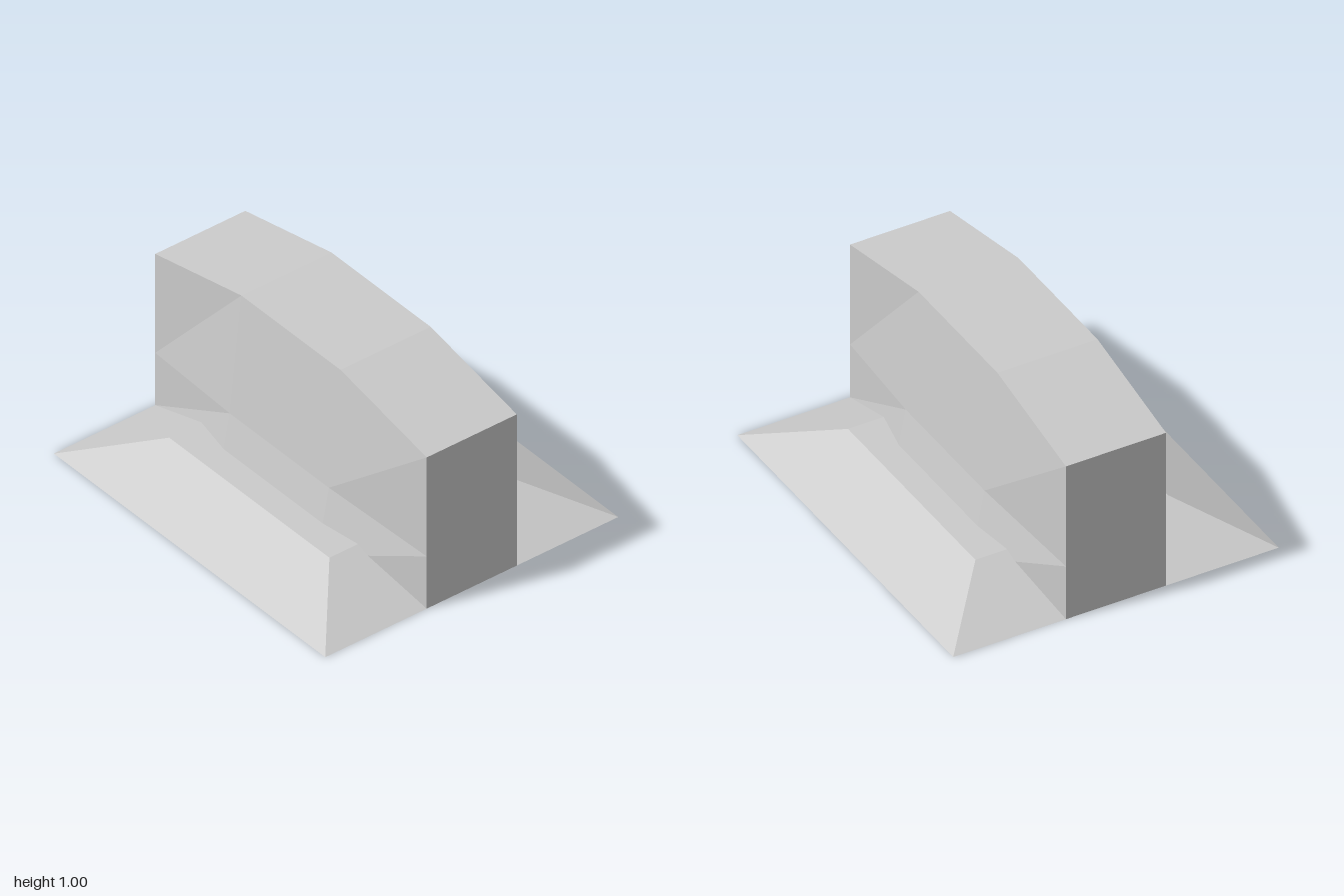
import * as THREE from 'three';

// Closed flat-sided skin through matching rings of [x, y, z] points,
// each ring running clockwise as seen from the last ring's end.
function loft(name, rings) {
  const n = rings[0].length;
  const last = rings.length - 1;
  const pos = [];
  const tri = (a, b, c) => pos.push(...a, ...b, ...c);
  for (let j = 0; j < last; j++) {
    for (let i = 0; i < n; i++) {
      const k = (i + 1) % n;
      tri(rings[j][i], rings[j + 1][i], rings[j + 1][k]);
      tri(rings[j][i], rings[j + 1][k], rings[j][k]);
    }
  }
  // end caps
  for (let i = 1; i < n - 1; i++) {
    tri(rings[0][0], rings[0][i], rings[0][i + 1]);
    tri(rings[last][0], rings[last][i + 1], rings[last][i]);
  }
  const geometry = new THREE.BufferGeometry();
  geometry.setAttribute('position', new THREE.Float32BufferAttribute(pos, 3));
  geometry.computeVertexNormals();
  const mesh = new THREE.Mesh(
    geometry,
    new THREE.MeshStandardMaterial({ color: 0xcccccc, flatShading: true })
  );
  mesh.name = name;
  return mesh;
}

export function createModel() {
  const model = new THREE.Group();
  model.name = 'wallBlock';

  // Sloped plinth: a low rectangular frustum
  const rect = (x, y, z) => [[-x, y, -z], [x, y, -z], [x, y, z], [-x, y, z]];
  model.add(loft('plinth', [rect(1, 0, 0.862), rect(0.59, 0.167, 0.51)]));

  // Upright body: four cross-sections along x, flared at the foot in the middle
  const section = (x, half) => [
    ...half.map(([y, z]) => [x, y, z]),
    ...[...half].reverse().map(([y, z]) => [x, y, -z]),
  ];
  const end = [[0, 0.265], [0.3, 0.265], [0.868, 0.265]];
  const middle = [[0, 0.402], [0.355, 0.333], [1, 0.265]];
  model.add(loft('body', [
    section(-1, end),
    section(-0.365, middle),
    section(0.365, middle),
    section(1, end),
  ]));

  return model;
}
